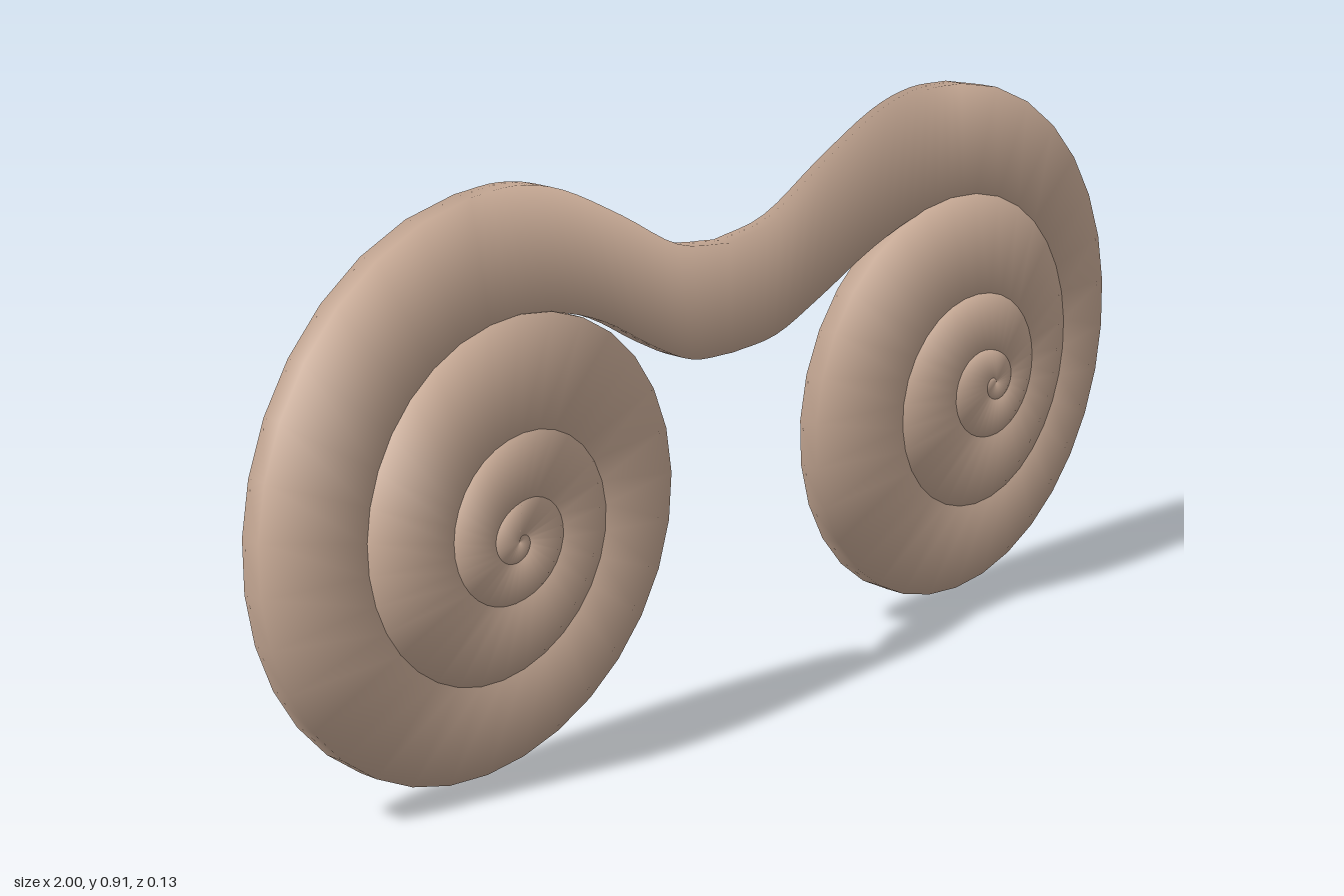
import * as THREE from 'three';

const CENTRE = { x: 0.575, y: 0.395 };
const HALF_THICK = 0.0175;

// Spiral edge per quarter turn (top, right, bottom, left, ...): radius and depth
const RADIUS = [0.51, 0.425, 0.395, 0.4, 0.324, 0.255, 0.23, 0.215, 0.155, 0.118, 0.1, 0.1, 0.056, 0.045, 0.032, 0.022, 0];
const DEPTH = [-0.038, -0.039, -0.03, -0.015, -0.002, 0.001, 0.009, 0.02, 0.032, 0.036, 0.039, 0.042, 0.045, 0.047, 0.048, 0.049, 0.05];
const LAST = RADIUS.length - 1;
const edgeTable = new THREE.CatmullRomCurve3(
  RADIUS.map((r, i) => new THREE.Vector3(r, DEPTH[i], 0)), false, 'catmullrom', 0.5);

// Point on the spiral edge after q quarter turns, clockwise from the top
function spiralEdge(q) {
  const t = Math.min(q, LAST) / LAST;
  const { x: r, y: z } = edgeTable.getPoint(t);
  const a = q * Math.PI / 2;
  return new THREE.Vector3(CENTRE.x + r * Math.sin(a), CENTRE.y + r * Math.cos(a), z);
}

const curve = (pts) => new THREE.CatmullRomCurve3(
  pts.map((p) => new THREE.Vector3(...p)), false, 'catmullrom', 0.5);

// Stations [outer edge, inner edge] from the middle of the bridge to the spiral centre
function halfStations() {
  const upper = curve([[0, 0.73, -0.049], [0.12, 0.75, -0.048], [0.25, 0.82, -0.045],
    [0.38, 0.883, -0.042], [0.48, 0.907, -0.04], [0.575, 0.905, -0.038]]);
  const lower = curve([[0, 0.55, -0.042], [0.1, 0.56, -0.038], [0.2, 0.605, -0.03],
    [0.32, 0.67, -0.016], [0.44, 0.71, -0.007], [0.575, 0.719, -0.002]]);
  const list = [];
  for (let i = 0; i < 20; i++) list.push([upper.getPoint(i / 20), lower.getPoint(i / 20)]);
  for (let i = 0; i <= LAST * 8; i++) list.push([spiralEdge(i / 8), spiralEdge(i / 8 + 4)]);
  return list;
}

// Four-cornered band swept through the stations, with rounded-looking normals
function bandGeometry(stations) {
  const positions = [], normals = [], index = [];
  const corners = [[0, 1], [0, -1], [1, -1], [1, 1]]; // [edge, front/back]
  stations.forEach((edges, i) => {
    const side = edges[0].clone().sub(edges[1]);
    if (side.length() < 1e-5) side.set(0, 1, 0);
    side.normalize();
    const face = new THREE.Vector3(0, 0, 1).addScaledVector(side, -side.z).normalize();
    for (const [edge, front] of corners) {
      const p = edges[edge];
      positions.push(p.x, p.y, p.z + front * HALF_THICK);
      const n = side.clone().multiplyScalar(edge ? -0.65 : 0.65).addScaledVector(face, front * 0.76);
      normals.push(...n.normalize().toArray());
    }
    if (i === stations.length - 1) return;
    for (let k = 0; k < 4; k++) {
      const a = i * 4 + k, d = i * 4 + (k + 1) % 4;
      index.push(a, a + 4, d + 4, a, d + 4, d);
    }
  });
  const geometry = new THREE.BufferGeometry();
  geometry.setAttribute('position', new THREE.Float32BufferAttribute(positions, 3));
  geometry.setAttribute('normal', new THREE.Float32BufferAttribute(normals, 3));
  geometry.setIndex(index);
  return geometry;
}

export function createModel() {
  const group = new THREE.Group();
  group.name = 'doubleSpiral';
  const clay = new THREE.MeshStandardMaterial({ color: 0xd9b9a3 });
  clay.name = 'paleClay';

  // One continuous band: left spiral, bridge, right spiral
  const right = halfStations();
  const left = right.slice(1).reverse().map((edges) =>
    edges.map((p) => new THREE.Vector3(-p.x, p.y, p.z)));
  const band = new THREE.Mesh(bandGeometry([...left, ...right]), clay);
  band.name = 'spiralBand';
  group.add(band);
  return group;
}
